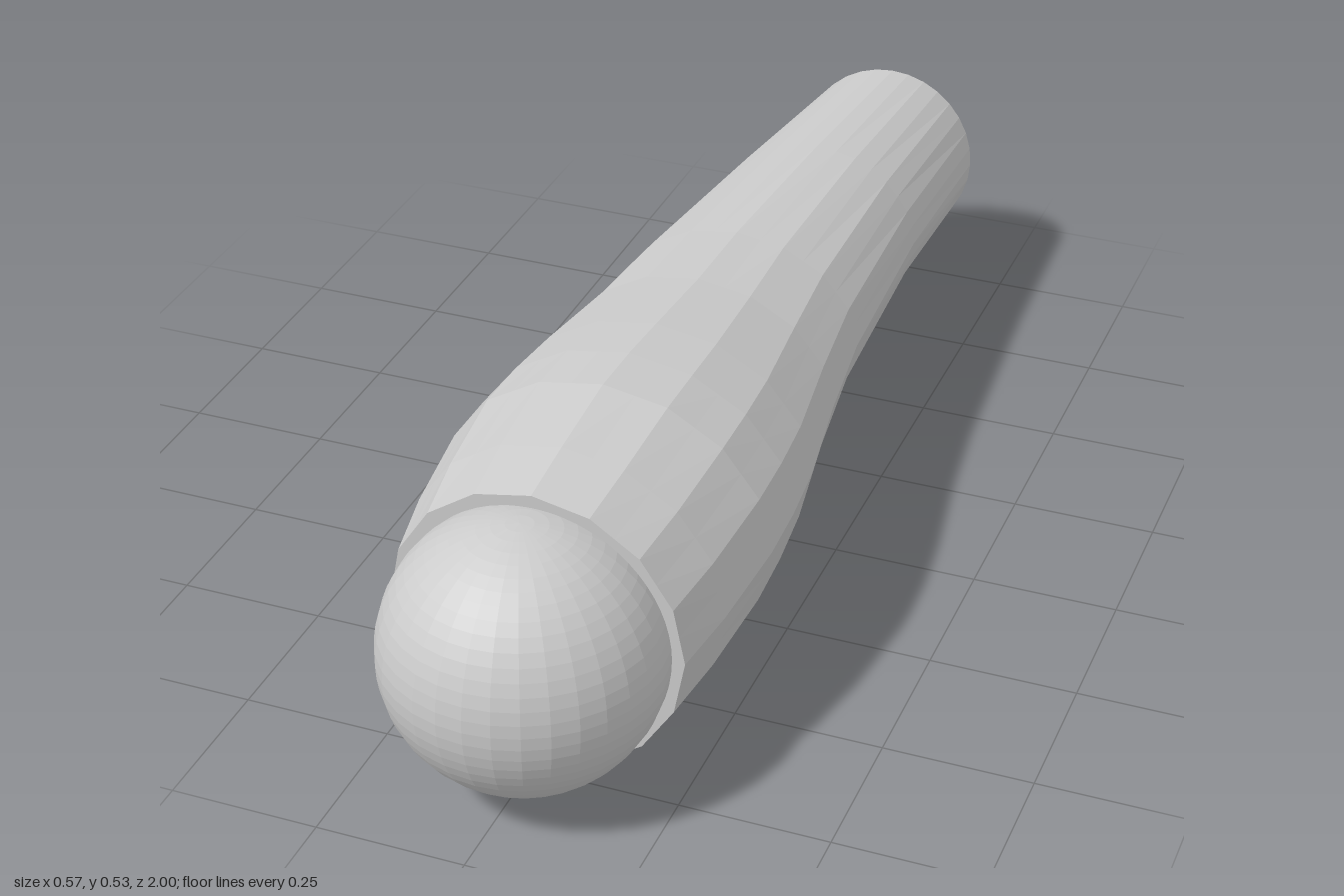
import * as THREE from 'three';

// Handle cross-sections from back to front: z, xMin, xMax, yMin, yMax
const SECTIONS = [
  [-0.988, -0.157, 0.18, 0.095, 0.43],
  [-0.6, -0.195, 0.188, 0.12, 0.455],
  [-0.2, -0.235, 0.213, 0.115, 0.478],
  [0, -0.25, 0.238, 0.09, 0.492],
  [0.2, -0.274, 0.27, 0.055, 0.515],
  [0.32, -0.283, 0.281, 0.042, 0.526],
  [0.43, -0.285, 0.284, 0.03, 0.53],
  [0.6, -0.267, 0.27, 0.014, 0.515],
  [0.72, -0.245, 0.25, 0.003, 0.5],
];
const SIDES = 32;

// Lofts the sections; 16 flat facets in front blend to a round back end
function handleGeometry() {
  const pos = [];
  const index = [];
  SECTIONS.forEach(([z, x0, x1, y0, y1], i) => {
    const flat = THREE.MathUtils.lerp(1, Math.cos(Math.PI / 16), Math.min(1, i / 2));
    for (let j = 0; j < SIDES; j++) {
      const t = (j / SIDES) * Math.PI * 2;
      const k = j % 2 ? flat : 1;
      // the back end leans slightly
      const lean = i === 0 ? -0.012 * Math.cos(t) : 0;
      pos.push(
        (x0 + x1) / 2 + ((x1 - x0) / 2) * k * Math.sin(t),
        (y0 + y1) / 2 + ((y1 - y0) / 2) * k * Math.cos(t),
        z + lean
      );
    }
  });
  const last = SECTIONS.length - 1;
  const backCentre = pos.length / 3;
  const frontCentre = backCentre + 1;
  for (const [z, x0, x1, y0, y1] of [SECTIONS[0], SECTIONS[last]]) {
    pos.push((x0 + x1) / 2, (y0 + y1) / 2, z);
  }
  for (let j = 0; j < SIDES; j++) {
    const n = (j + 1) % SIDES;
    for (let i = 0; i < last; i++) {
      const a = i * SIDES + j, b = i * SIDES + n;
      const c = a + SIDES, d = b + SIDES;
      index.push(a, c, b, b, c, d);
    }
    index.push(backCentre, j, n);
    index.push(frontCentre, last * SIDES + n, last * SIDES + j);
  }
  const g = new THREE.BufferGeometry();
  g.setAttribute('position', new THREE.Float32BufferAttribute(pos, 3));
  g.setIndex(index);
  g.computeVertexNormals();
  return g;
}

export function createModel() {
  const group = new THREE.Group();
  const material = new THREE.MeshStandardMaterial({ color: 0xcccccc, flatShading: true });

  // Tapered, swelling handle
  const handle = new THREE.Mesh(handleGeometry(), material);
  handle.name = 'handle';

  // Ball seated in the front end
  const ball = new THREE.Mesh(new THREE.SphereGeometry(0.229, 32, 32), material);
  ball.name = 'ball';
  ball.position.set(0.006, 0.255, 0.771);

  group.add(handle, ball);
  return group;
}
